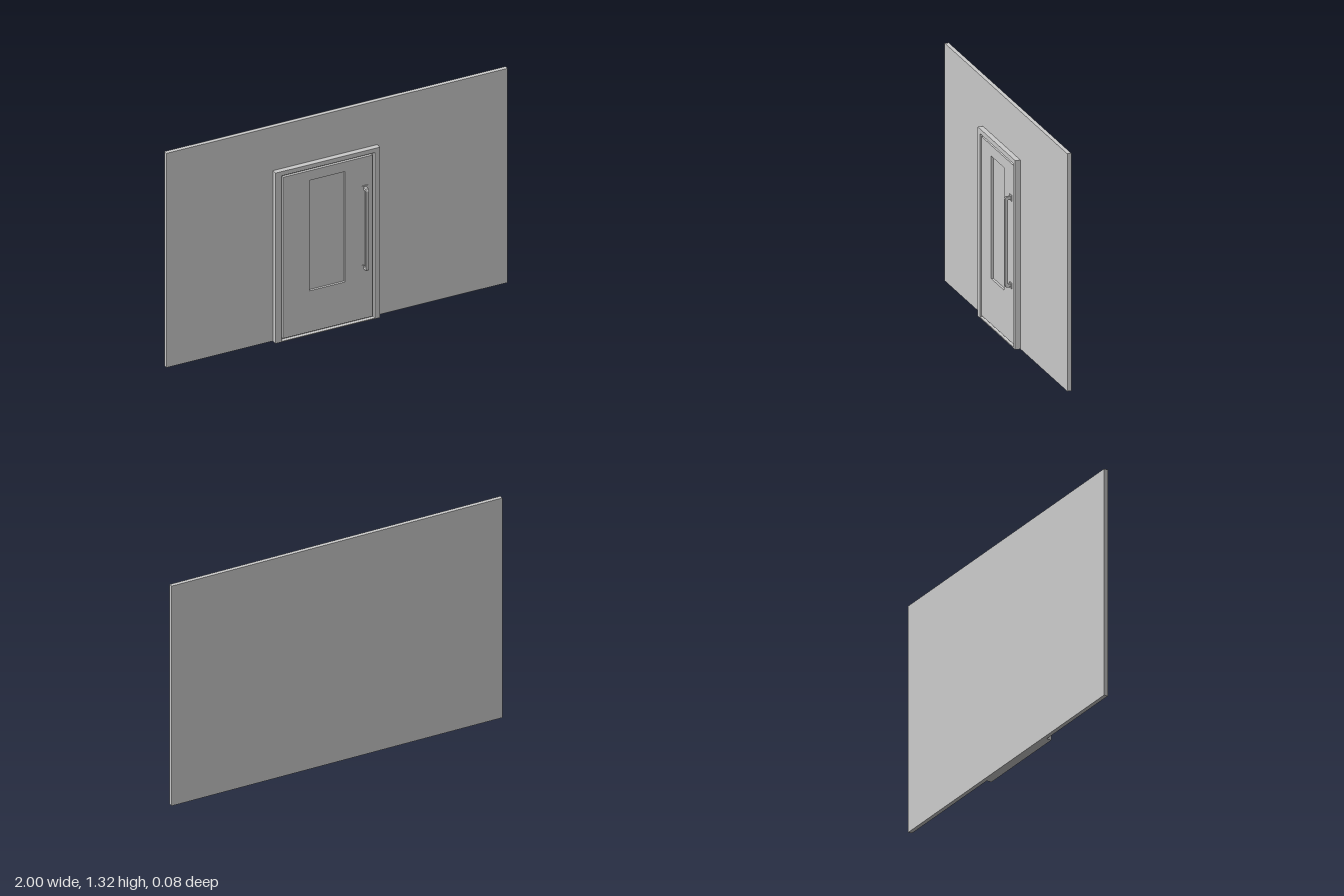
import * as THREE from 'three';

const mat = new THREE.MeshStandardMaterial({ color: 0xcccccc, flatShading: true });

// Closed shape from a list of [x, y] corners
const poly = (pts) => new THREE.Shape(pts.map(([x, y]) => new THREE.Vector2(x, y)));
const rect = (x0, x1, y0, y1) => [[x0, y0], [x1, y0], [x1, y1], [x0, y1]];

export function createModel() {
  const root = new THREE.Group();

  const add = (name, geometry, parent = root) => {
    const mesh = new THREE.Mesh(geometry, mat);
    mesh.name = name;
    parent.add(mesh);
    return mesh;
  };
  const box = (name, x0, x1, y0, y1, z0, z1, parent) =>
    add(name, new THREE.BoxGeometry(x1 - x0, y1 - y0, z1 - z0), parent)
      .position.set((x0 + x1) / 2, (y0 + y1) / 2, (z0 + z1) / 2);
  const slab = (name, shape, z0, z1, parent) =>
    add(name, new THREE.ExtrudeGeometry(shape, { depth: z1 - z0, bevelEnabled: false }), parent)
      .position.set(0, 0, z0);

  // Wall panel
  box('wall', -1, 1, 0, 1.317, -0.0405, -0.0175);

  // Door surround: two jambs and a head in one piece, with a sill between
  slab('doorFrame', poly([
    [-0.375, 0], [-0.34, 0], [-0.34, 1.022], [0.208, 1.022],
    [0.208, 0], [0.237, 0], [0.237, 1.048], [-0.375, 1.048],
  ]), -0.0175, 0.012);
  box('sill', -0.34, 0.208, 0, 0.005, -0.0175, 0.012);

  // Recessed stop behind the gap around the leaf
  box('doorStop', -0.34, 0.208, 0.005, 1.022, -0.0175, -0.0085);

  // Leaf with a window opening and a set-back pane
  const door = new THREE.Group();
  door.name = 'door';
  root.add(door);
  const leaf = poly(rect(-0.328, 0.196, 0.016, 1.007));
  leaf.holes.push(poly(rect(-0.172, 0.037, 0.268, 0.947)));
  slab('doorLeaf', leaf, -0.0085, 0.006, door);
  box('windowPane', -0.172, 0.037, 0.268, 0.947, -0.0085, -0.0075, door);

  // Pull handle: square bar with chamfered corners, drawn in (z, y)
  const handle = new THREE.Group();
  handle.name = 'handle';
  door.add(handle);
  const profile = poly([
    [0.006, 0.323], [0.034, 0.323], [0.0415, 0.335], [0.0415, 0.813], [0.034, 0.825], [0.006, 0.825],
    [0.006, 0.808], [0.0265, 0.808], [0.0265, 0.34], [0.006, 0.34],
  ]);
  const bar = add('handleBar',
    new THREE.ExtrudeGeometry(profile, { depth: 0.016, bevelEnabled: false }), handle);
  bar.rotation.y = -Math.PI / 2;
  bar.scale.z = 1;
  // Local x maps to +z, the extrusion runs towards -x
  bar.position.x = 0.159;

  // Mounting plates at both ends
  for (const y of [0.33, 0.817]) {
    box('handlePlate', 0.134, 0.168, y - 0.016, y + 0.016, 0.006, 0.01, handle);
  }

  return root;
}
